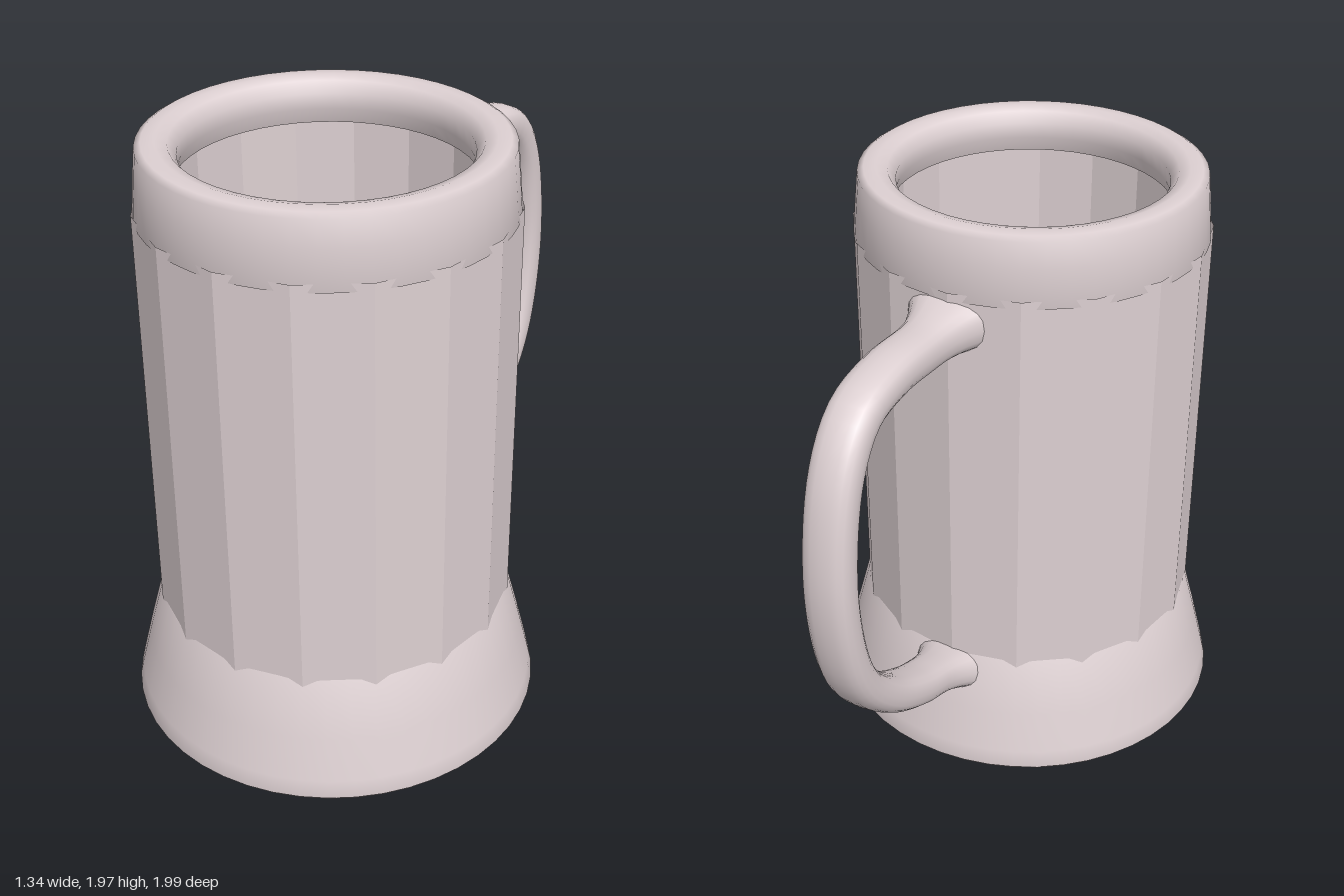
import * as THREE from 'three';

const AXIS_Z = 0.32; // the cup axis sits forward of centre to leave room for the handle

function makeMaterial(flatShading) {
  return new THREE.MeshStandardMaterial({ color: 0xddd0d2, flatShading, side: THREE.DoubleSide });
}

// Revolve a profile of [radius, height] pairs around the cup axis
function turned(name, profile, segments, material) {
  const points = profile.map(([r, y]) => new THREE.Vector2(r, y));
  const mesh = new THREE.Mesh(new THREE.LatheGeometry(points, segments), material);
  mesh.name = name;
  mesh.position.z = AXIS_Z;
  return mesh;
}

// Sweep a softly squared section along the handle curve, flaring where it joins the cup
function handleGeometry() {
  const curve = new THREE.CatmullRomCurve3([
    [1.67, -0.2], [1.665, -0.38], [1.675, -0.6], [1.635, -0.77], [1.5, -0.875],
    [1.2, -0.935], [0.92, -0.91], [0.74, -0.84], [0.57, -0.68], [0.46, -0.5],
    [0.41, -0.37], [0.35, -0.2],
  ].map(([y, z]) => new THREE.Vector3(0, y, z)));
  const rings = 56, sides = 20;
  const positions = [], indices = [];
  const soft = (v) => Math.sign(v) * Math.pow(Math.abs(v), 0.8);
  for (let i = 0; i <= rings; i++) {
    const t = i / rings;
    const p = curve.getPointAt(t);
    const tan = curve.getTangentAt(t);
    const end = Math.max(0, 1 - Math.min(t, 1 - t) / 0.09);
    const flare = 0.07 * end * end;
    const halfWidth = 0.079 + flare;
    const halfDepth = 0.061 + 0.009 * Math.max(0, 1 - t * 3) + flare * 0.35;
    for (let j = 0; j < sides; j++) {
      const a = (j / sides) * Math.PI * 2;
      const u = soft(Math.cos(a)) * halfWidth;
      const v = soft(Math.sin(a)) * halfDepth;
      positions.push(0.017 + u, p.y - tan.z * v, p.z + tan.y * v);
      if (i < rings) {
        const k = (j + 1) % sides;
        const b = i * sides, c = b + sides;
        indices.push(b + j, b + k, c + j, b + k, c + k, c + j);
      }
    }
  }
  const geometry = new THREE.BufferGeometry();
  geometry.setAttribute('position', new THREE.Float32BufferAttribute(positions, 3));
  geometry.setIndex(indices);
  geometry.computeVertexNormals();
  return geometry;
}

export function createModel() {
  const group = new THREE.Group();
  group.name = 'mug';
  const smooth = makeMaterial(false);
  const faceted = makeMaterial(true);

  // Sixteen-sided barrel, outside and inside
  group.add(turned('barrel', [[0.575, 0.36], [0.575, 1.78]], 16, faceted));
  group.add(turned('innerWall', [[0.47, 1.86], [0.47, 0.24]], 16, faceted));

  // Rounded drinking rim with an inner lip
  group.add(turned('rim', [
    [0.45, 1.83], [0.432, 1.88], [0.43, 1.93], [0.455, 1.965], [0.49, 1.975],
    [0.53, 1.972], [0.55, 1.96], [0.558, 1.88], [0.569, 1.755], [0.54, 1.75],
  ].reverse(), 48, smooth));

  // Flared foot, curling under into a hollow base
  group.add(turned('foot', [
    [0.5, 0.2], [0.54, 0.1], [0.555, 0.03], [0.57, 0.005], [0.6, 0.01], [0.655, 0.03],
    [0.668, 0.045], [0.655, 0.1], [0.62, 0.24], [0.569, 0.43], [0.54, 0.435],
  ], 48, smooth));

  // Underside of the hollow base and the floor of the cup
  group.add(turned('underside', [[0, 0.22], [0.3, 0.215], [0.44, 0.21], [0.51, 0.19]], 48, smooth));
  group.add(turned('floor', [[0.48, 0.3], [0.4, 0.265], [0.2, 0.25], [0, 0.245]], 48, smooth));

  const handle = new THREE.Mesh(handleGeometry(), smooth);
  handle.name = 'handle';
  group.add(handle);

  return group;
}
